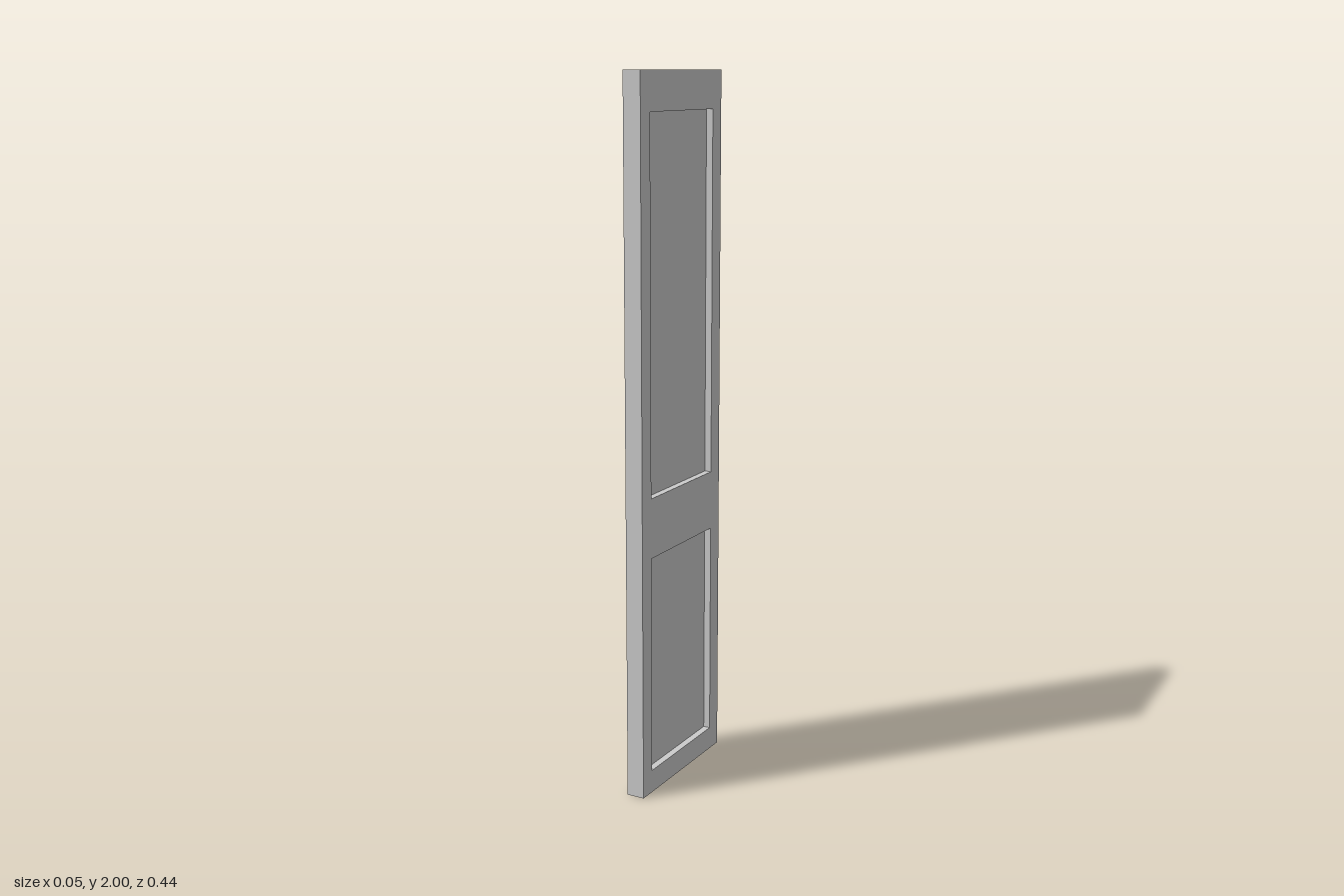
import * as THREE from 'three';

// Thin pressed door skin: open at the back, two recessed panels on the +x face.
const HALF_DEPTH = 0.026, RECESS = 0.02;
const OUTER = { x: 0.221, y0: 0, y1: 2 };
const PANELS = [
  { name: 'lowerPanel', x: 0.172, y0: 0.066, y1: 0.692 },
  { name: 'upperPanel', x: 0.172, y0: 0.862, y1: 1.894 },
];

// Rectangle corners, counter-clockwise
const corners = ({ x, y0, y1 }) => [[-x, y0], [x, y0], [x, y1], [-x, y1]];
const points = (rect) => corners(rect).map(([x, y]) => new THREE.Vector2(x, y));

// Four walls around a rectangle; they face outward when zA < zB, inward otherwise
function walls(rect, zA, zB) {
  const c = corners(rect), pos = [];
  c.forEach((a, i) => {
    const b = c[(i + 1) % 4];
    pos.push(...a, zA, ...b, zA, ...b, zB, ...a, zA, ...b, zB, ...a, zB);
  });
  const g = new THREE.BufferGeometry();
  g.setAttribute('position', new THREE.Float32BufferAttribute(pos, 3));
  g.computeVertexNormals();
  return g;
}

export function createModel() {
  const model = new THREE.Group();
  model.name = 'doorLeaf';
  const material = new THREE.MeshStandardMaterial({ color: 0xcccccc, side: THREE.DoubleSide });
  const add = (name, geometry, z = 0) => {
    geometry.translate(0, 0, z).rotateY(Math.PI / 2); // face the sheet toward +x
    const mesh = new THREE.Mesh(geometry, material);
    mesh.name = name;
    model.add(mesh);
  };

  // Face sheet with an opening for each panel
  const face = new THREE.Shape(points(OUTER));
  PANELS.forEach((p) => face.holes.push(new THREE.Path(points(p).reverse())));
  add('faceSheet', new THREE.ShapeGeometry(face), HALF_DEPTH);

  // Edge walls around the open back
  add('edgeWalls', walls(OUTER, -HALF_DEPTH, HALF_DEPTH));

  // Recessed panels and their side walls
  for (const p of PANELS) {
    add(p.name, new THREE.ShapeGeometry(new THREE.Shape(points(p))), HALF_DEPTH - RECESS);
    add(p.name + 'Walls', walls(p, HALF_DEPTH, HALF_DEPTH - RECESS));
  }
  return model;
}
